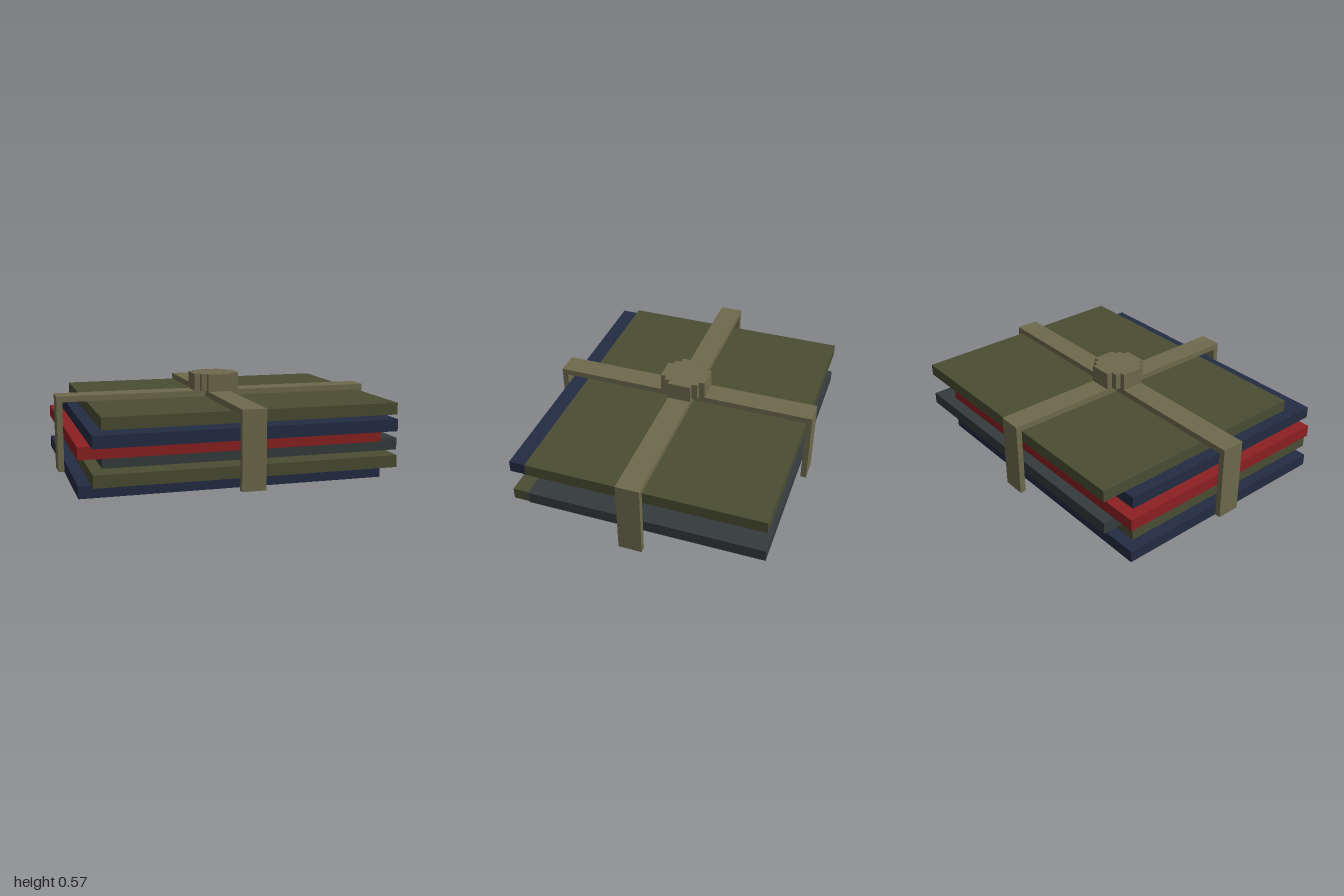
import * as THREE from 'three';

const U = 1 / 28; // base grid unit

function makeMaterial(name, color) {
  const m = new THREE.MeshStandardMaterial({ color });
  m.name = name;
  return m;
}

export function createModel() {
  const group = new THREE.Group();
  const navy = makeMaterial('navy cloth', 0x222c42);
  const olive = makeMaterial('olive cloth', 0x4a4d33);
  const grey = makeMaterial('dark grey cloth', 0x353b3c);
  const red = makeMaterial('red cloth', 0x8c2022);
  const khaki = makeMaterial('khaki strap', 0x6e6a4d);

  // Flat-sided box given by its size and centre, y measured at the base
  const box = (name, mat, [w, h, d], [x, y, z]) => {
    const mesh = new THREE.Mesh(new THREE.BoxGeometry(w * U, h * U, d * U), mat);
    mesh.position.set(x * U, (y + h / 2) * U, z * U);
    mesh.name = name;
    group.add(mesh);
  };

  // Stack of folded cloths, each shifted from its neighbours
  const shifts = [[-2, 0], [0, 2], [2, -2]];
  [navy, olive, grey, red, navy, olive].forEach((mat, i) => {
    const [x, z] = shifts[i % 3];
    box(`foldedCloth${i + 1}`, mat, [50, 2, 40], [x, i * 2, z]);
  });

  // Crossed straps over the top, with legs down the four sides
  box('strapAcross', khaki, [56, 1, 4], [0, 12, 0]);
  for (const s of [1, -1]) {
    box('strapLengthwise', khaki, [4, 1, 21], [0, 12, s * 12.5]);
    box('strapSide', khaki, [1, 12, 4], [s * 27.5, 0, 0]);
    box('strapEnd', khaki, [4, 12, 1], [0, 0, s * 22.5]);
  }

  // Stepped round knot where the straps meet
  const quarter = [[4, 2], [3, 2], [3, 3], [2, 3], [2, 4]];
  const outline = [];
  for (let q = 0; q < 4; q++) {
    for (let [x, y] of quarter) {
      for (let k = 0; k < q; k++) [x, y] = [-y, x];
      outline.push(new THREE.Vector2(x * U, y * U));
    }
  }
  const knotGeo = new THREE.ExtrudeGeometry(new THREE.Shape(outline), { depth: 3 * U, bevelEnabled: false });
  knotGeo.rotateX(-Math.PI / 2);
  const knot = new THREE.Mesh(knotGeo, khaki);
  knot.position.y = 13 * U;
  knot.name = 'knot';
  group.add(knot);

  return group;
}
